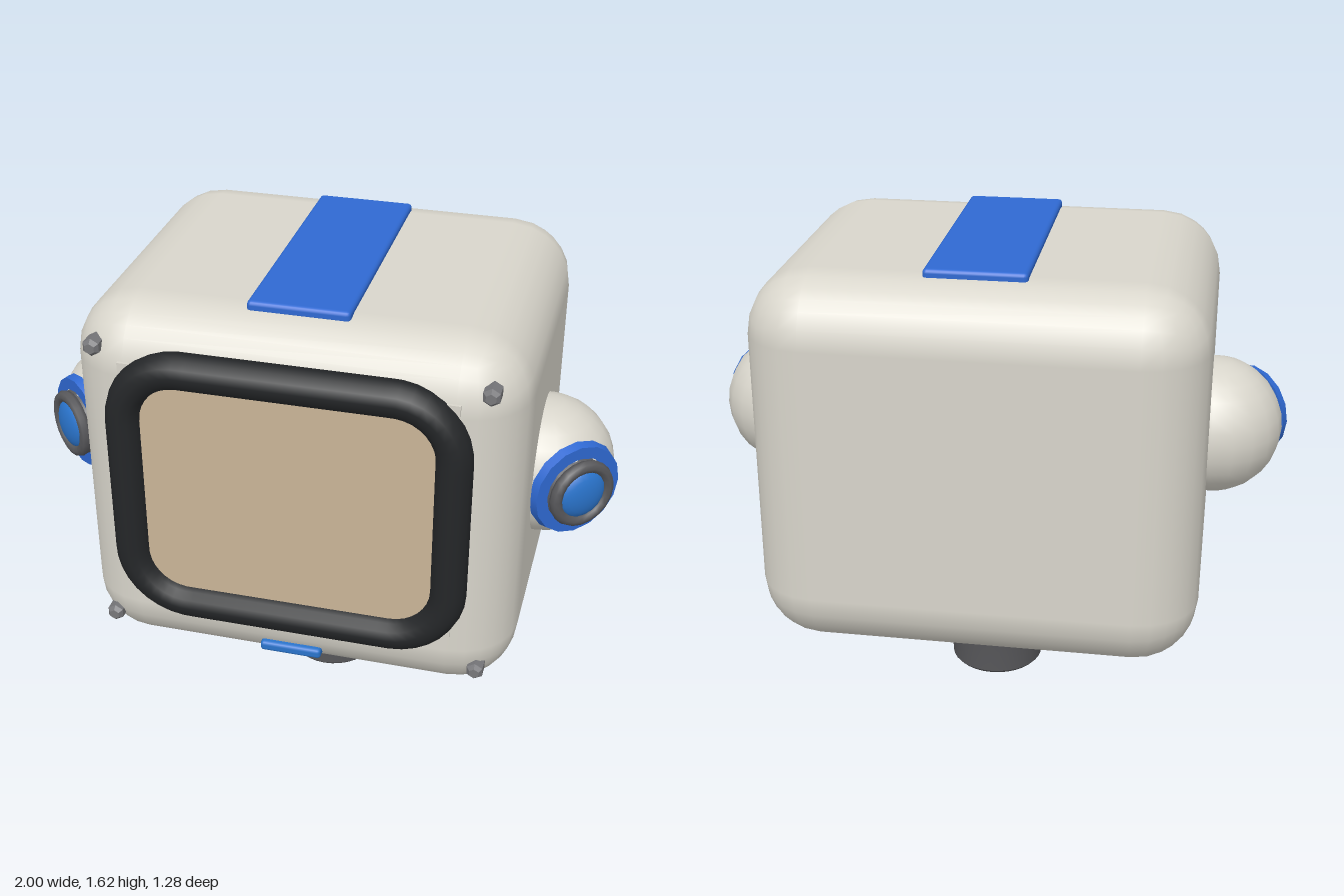
import * as THREE from 'three';
import { RoundedBoxGeometry } from 'three/addons/geometries/RoundedBoxGeometry.js';

const paint = (color, flatShading = false) => new THREE.MeshStandardMaterial({ color, flatShading });
const shell = paint(0xd8d5cb);
const blue = paint(0x2f69d2);
const lensBlue = paint(0x2a74cc);
const dark = paint(0x242628);
const grey = paint(0x58585b);
const boltGrey = paint(0x77777a, true);
const tan = paint(0xc9b497);

function add(parent, name, geometry, material, x = 0, y = 0, z = 0) {
  const mesh = new THREE.Mesh(geometry, material);
  mesh.name = name;
  mesh.position.set(x, y, z);
  parent.add(mesh);
  return mesh;
}

// Rounded rectangle centred on the origin
function roundedRect(w, h, r) {
  const s = new THREE.Shape();
  const x = w / 2, y = h / 2;
  s.moveTo(x, -y + r);
  s.lineTo(x, y - r);
  s.absarc(x - r, y - r, r, 0, Math.PI / 2);
  s.lineTo(-x + r, y);
  s.absarc(-x + r, y - r, r, Math.PI / 2, Math.PI);
  s.lineTo(-x, -y + r);
  s.absarc(-x + r, -y + r, r, Math.PI, Math.PI * 1.5);
  s.lineTo(x - r, -y);
  s.absarc(x - r, -y + r, r, Math.PI * 1.5, Math.PI * 2);
  return s;
}

// Side pod: a sphere with a lens assembly aimed forward and outward
function createPod(side) {
  const pod = new THREE.Group();
  pod.name = side > 0 ? 'leftPod' : 'rightPod';
  pod.position.set(side * 0.745, 0.955, 0.03);
  add(pod, 'podShell', new THREE.SphereGeometry(0.235, 20, 14), shell);

  const eye = new THREE.Group();
  eye.name = 'lensAssembly';
  eye.rotation.y = side * Math.atan2(0.65, 0.76);
  pod.add(eye);
  const collar = new THREE.CylinderGeometry(0.16, 0.168, 0.03, 16).rotateX(Math.PI / 2);
  add(eye, 'lensCollar', collar, blue, 0, 0, 0.187);
  const barrel = new THREE.CylinderGeometry(0.105, 0.12, 0.03, 16).rotateX(Math.PI / 2);
  add(eye, 'lensBarrel', barrel, grey, 0, 0, 0.212);
  add(eye, 'lensRim', new THREE.TorusGeometry(0.1, 0.021, 8, 20), grey, 0, 0, 0.225);
  const dome = new THREE.SphereGeometry(0.088, 18, 6, 0, Math.PI * 2, 0, Math.PI / 2).rotateX(Math.PI / 2);
  add(eye, 'lens', dome, lensBlue, 0, 0, 0.222).scale.z = 0.4;
  return pod;
}

export function createModel() {
  const model = new THREE.Group();
  model.name = 'robotHead';

  // Head casing
  add(model, 'head', new RoundedBoxGeometry(1.47, 1.29, 1.22, 3, 0.21), shell, 0, 0.955, -0.035);

  // Screen with its backing and thick rounded frame
  const face = new THREE.Group();
  face.name = 'face';
  face.position.set(0, 1.003, 0.578);
  model.add(face);
  add(face, 'screenBacking', new THREE.BoxGeometry(1.08, 0.87, 0.03), shell, 0, 0, -0.016);
  const pane = new THREE.ExtrudeGeometry(roundedRect(1.03, 0.84, 0.18), { depth: 0.02, bevelEnabled: false, curveSegments: 6 });
  add(face, 'screen', pane, tan, 0, 0, -0.01);
  const outline = roundedRect(1.06, 0.87, 0.19).getSpacedPoints(96).slice(0, -1)
    .map(p => new THREE.Vector3(p.x, p.y, 0));
  const loop = new THREE.CatmullRomCurve3(outline, true);
  add(face, 'screenFrame', new THREE.TubeGeometry(loop, 96, 0.059, 12, true), dark);

  // Top stripe and chin button
  add(model, 'topStripe', new RoundedBoxGeometry(0.33, 0.04, 0.895, 2, 0.014), blue, 0, 1.6, -0.028);
  add(model, 'chinButton', new RoundedBoxGeometry(0.21, 0.036, 0.06, 2, 0.012), lensBlue, 0, 0.408, 0.542);

  // Hex bolts at the face corners
  for (const x of [-0.627, 0.627]) {
    for (const y of [0.443, 1.473]) {
      const bolt = new THREE.Group();
      bolt.name = 'bolt';
      bolt.position.set(x, y, 0.545);
      add(bolt, 'boltShank', new THREE.CylinderGeometry(0.03, 0.03, 0.05, 6).rotateX(Math.PI / 2), boltGrey, 0, 0, -0.008);
      add(bolt, 'boltCap', new THREE.CylinderGeometry(0.018, 0.03, 0.014, 6).rotateX(Math.PI / 2), boltGrey, 0, 0, 0.024);
      model.add(bolt);
    }
  }

  // Side pods
  model.add(createPod(1), createPod(-1));

  // Flared neck; repeated points keep the caps crisp
  const profile = [
    [0, 0], [0.152, 0], [0.152, 0], [0.163, 0.012], [0.163, 0.012], [0.17, 0.155], [0.182, 0.178],
    [0.275, 0.25], [0.291, 0.268], [0.293, 0.282], [0.284, 0.295], [0.284, 0.295], [0, 0.295],
  ].map(([r, y]) => new THREE.Vector2(r, y));
  add(model, 'neck', new THREE.LatheGeometry(profile, 32), grey, 0, 0, -0.027);

  return model;
}
